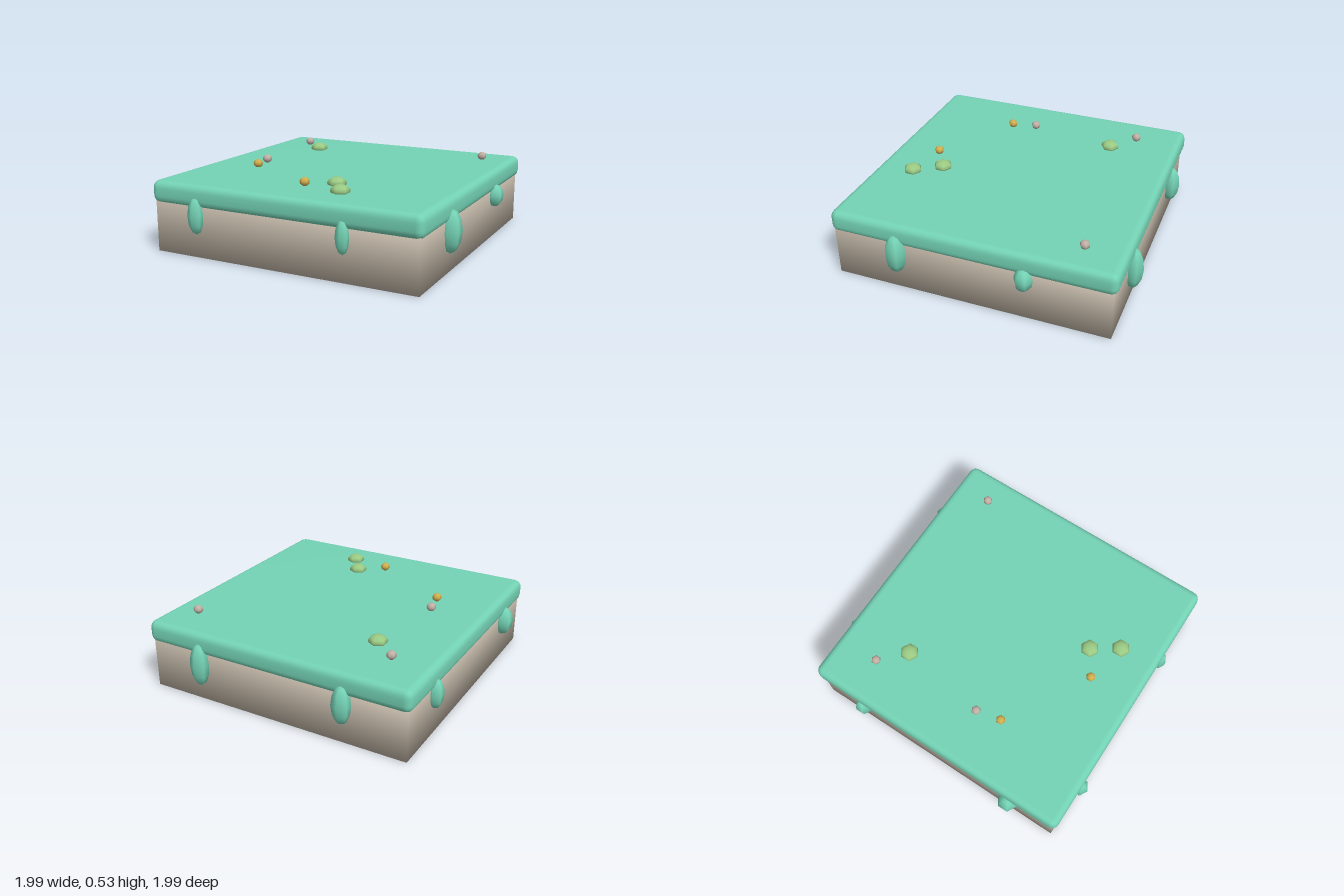
import * as THREE from 'three';
import { mergeVertices } from 'three/addons/utils/BufferGeometryUtils.js';
import { RoundedBoxGeometry } from 'three/addons/geometries/RoundedBoxGeometry.js';

const material = (name, color) => {
  const m = new THREE.MeshStandardMaterial({ color });
  m.name = name;
  return m;
};

// Weld corners so the normals run smoothly over the edges
function smooth(geometry) {
  geometry.deleteAttribute('normal');
  geometry.deleteAttribute('uv');
  const welded = mergeVertices(geometry);
  welded.computeVertexNormals();
  return welded;
}

export function createModel() {
  const model = new THREE.Group();
  const teal = material('teal slime', 0x74d3b5);
  const stone = material('beige stone', 0xc9beae);
  const green = material('green moss', 0x9bcb84);
  const yellow = material('yellow bead', 0xd2b04e);
  const grey = material('pale pebble', 0xc2b1a6);

  const add = (name, geometry, mat, x, y, z) => {
    const mesh = new THREE.Mesh(geometry, mat);
    mesh.name = name;
    mesh.position.set(x, y, z);
    model.add(mesh);
    return mesh;
  };

  // Stone block and the soft layer on top
  add('baseBlock', smooth(new THREE.BoxGeometry(1.84, 0.4, 1.84)), stone, 0, 0.2, 0.005);
  add('topLayer', smooth(new RoundedBoxGeometry(1.887, 0.15, 1.887, 2, 0.05)), teal, 0, 0.4, 0.003);

  // Six-sided blob shared by drips, moss and beads
  const blob = new THREE.SphereGeometry(1, 6, 6).rotateY(Math.PI / 2);
  const addBlob = (name, mat, x, y, z, r, ry) =>
    add(name, blob, mat, x, y, z).scale.set(r, ry, r);

  // Drips over each side: x, z, radius, bottom, top
  const edge = 0.935;
  const drips = [
    [-0.597, edge, 0.055, 0.155, 0.4], [0.443, edge, 0.045, 0.175, 0.39],
    [edge, 0.487, 0.072, 0.13, 0.408], [edge, -0.365, 0.062, 0.22, 0.377],
    [-0.5, -edge, 0.064, 0.14, 0.4], [0.537, -edge, 0.064, 0.112, 0.408],
    [-edge, 0.588, 0.07, 0.19, 0.392], [-edge, -0.573, 0.053, 0.19, 0.39],
  ];
  for (const [x, z, r, bottom, top] of drips) {
    addBlob('drip', teal, x, (bottom + top) / 2, z, r, (top - bottom) / 2);
  }

  // Moss clumps and beads on the top
  for (const [x, z] of [[-0.498, -0.478], [0.183, 0.51], [0.297, 0.682]]) {
    addBlob('mossClump', green, x, 0.488, z, 0.063, 0.038);
  }
  for (const [x, z] of [[-0.665, -0.628], [0.735, -0.676], [-0.587, 0.117]]) {
    addBlob('pebble', grey, x, 0.5, z, 0.032, 0.029);
  }
  for (const [x, z] of [[-0.553, 0.285], [0.013, 0.62]]) {
    addBlob('yellowBead', yellow, x, 0.5, z, 0.032, 0.029);
  }
  return model;
}
